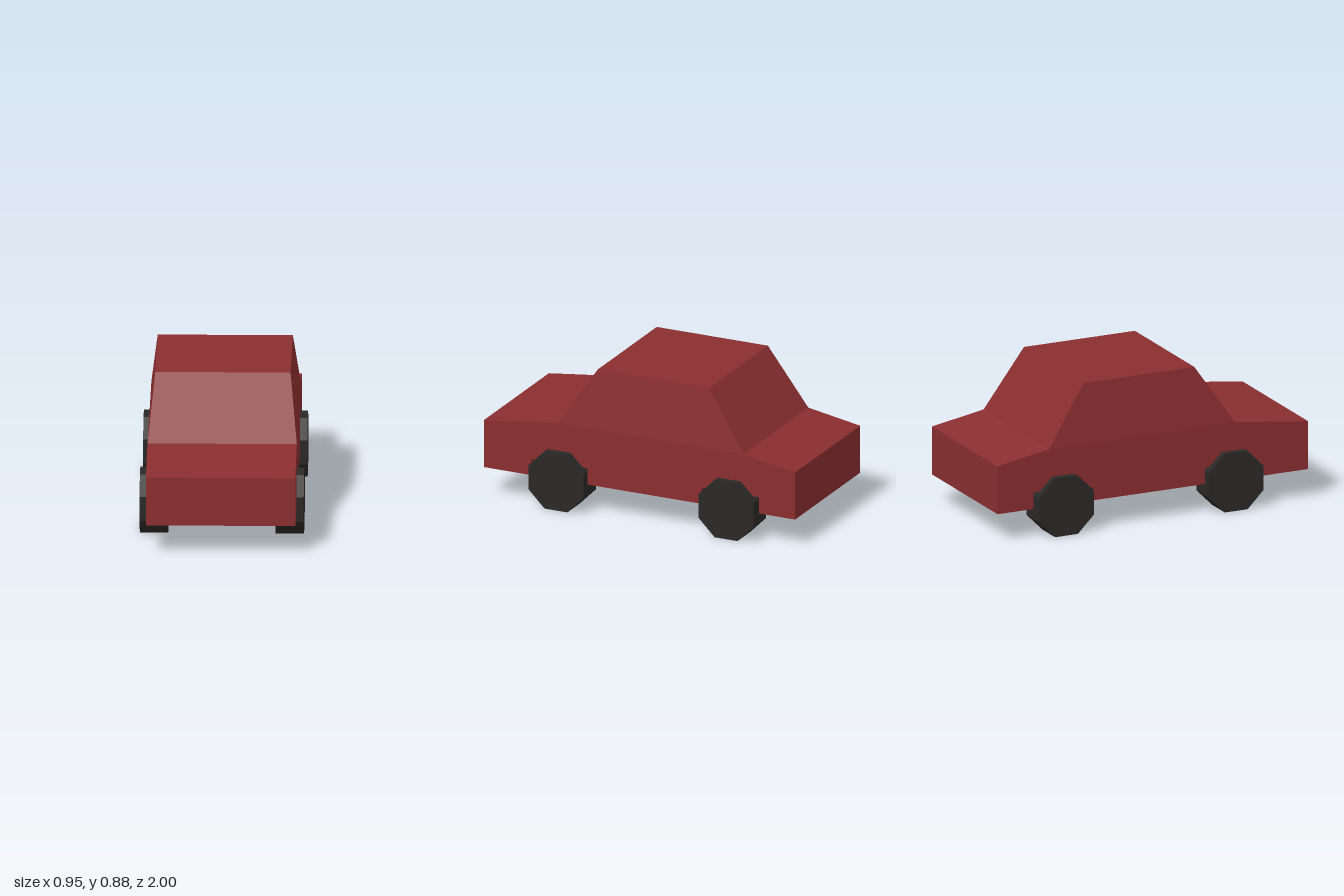
import * as THREE from 'three';

const HALF = 0.432, ROOF_HALF = 0.391, WAIST = 0.523, ROOF = 0.88, FLOOR = 0.175;

export function createModel() {
  const car = new THREE.Group();
  car.name = 'car';
  const paint = new THREE.MeshStandardMaterial({ color: 0x8a2e30, flatShading: true });
  const rubber = new THREE.MeshStandardMaterial({ color: 0x2b2827, flatShading: true });
  const add = (name, geometry, material) => {
    const mesh = new THREE.Mesh(geometry, material);
    mesh.name = name;
    car.add(mesh);
    return mesh;
  };

  // Lower body: side profile (z, y) with both wheel wells cut across the full width
  const profile = [
    [-1, FLOOR], [-0.767, FLOOR], [-0.767, 0.275], [-0.394, 0.275], [-0.394, FLOOR],
    [0.335, FLOOR], [0.335, 0.275], [0.697, 0.275], [0.697, FLOOR], [1, FLOOR],
    [1, 0.465], [0.53, WAIST], [-0.667, WAIST], [-1, 0.465],
  ].map(([z, y]) => new THREE.Vector2(z, y));
  const body = new THREE.ExtrudeGeometry(new THREE.Shape(profile), { depth: 2 * HALF, bevelEnabled: false });
  body.translate(0, 0, -HALF).rotateY(-Math.PI / 2);
  add('body', body, paint);

  // Cabin: a box whose top is drawn in on all four sides
  const cabin = new THREE.BoxGeometry(1, 1, 1);
  const p = cabin.attributes.position;
  for (let i = 0; i < p.count; i++) {
    const top = p.getY(i) > 0, front = p.getZ(i) > 0;
    p.setXYZ(
      i,
      Math.sign(p.getX(i)) * (top ? ROOF_HALF : HALF),
      top ? ROOF : WAIST,
      front ? (top ? 0.287 : 0.53) : (top ? -0.427 : -0.667),
    );
  }
  cabin.computeVertexNormals();
  add('cabin', cabin, paint);

  // Wheels: octagonal, resting on a flat side
  const apothem = 0.177;
  const wheel = new THREE.CylinderGeometry(
    apothem / Math.cos(Math.PI / 8), apothem / Math.cos(Math.PI / 8), 0.164, 8, 1, false, Math.PI / 8);
  wheel.rotateZ(Math.PI / 2);
  for (const [end, z] of [['front', 0.516], ['rear', -0.577]]) {
    for (const [side, s] of [['Left', 1], ['Right', -1]]) {
      add(`${end}${side}Wheel`, wheel, rubber).position.set(s * 0.393, apothem, z);
    }
  }
  return car;
}
